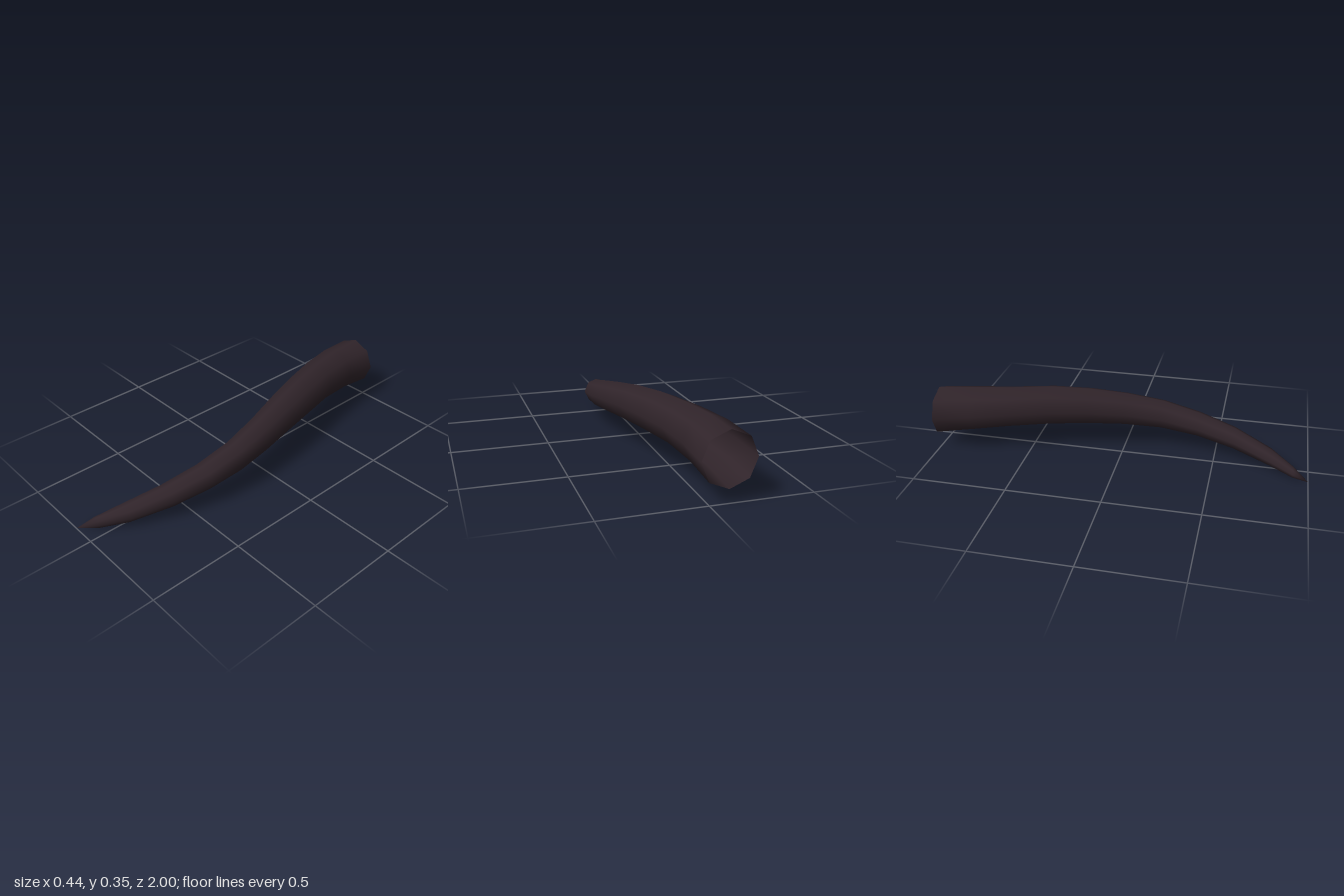
import * as THREE from 'three';

// Horn outline at each station along z: [z, xMin, xMax, yMin, yMax]
const STATIONS = [
  [-1.0, -0.222, 0.042, 0.067, 0.335],
  [-0.8, -0.2, 0.052, 0.1, 0.346],
  [-0.6, -0.155, 0.08, 0.123, 0.348],
  [-0.4, -0.095, 0.127, 0.13, 0.349],
  [-0.2, -0.035, 0.167, 0.13, 0.333],
  [0.0, 0.023, 0.2, 0.121, 0.303],
  [0.2, 0.06, 0.219, 0.107, 0.265],
  [0.4, 0.056, 0.204, 0.087, 0.218],
  [0.6, 0.02, 0.152, 0.056, 0.17],
  [0.8, -0.05, 0.062, 0.022, 0.108],
  [0.92, -0.095, -0.035, 0.001, 0.06],
];
const TIP = [-0.116, 0.011, 1];
const SIDES = 8;

export function createModel() {
  const positions = [];
  const indices = [];

  // Eight-sided cross-sections, from the open base to the tip
  for (const [z, x0, x1, y0, y1] of STATIONS) {
    for (let j = 0; j < SIDES; j++) {
      const a = (j / SIDES) * Math.PI * 2;
      positions.push(
        (x0 + x1) / 2 + ((x1 - x0) / 2) * Math.cos(a),
        (y0 + y1) / 2 + ((y1 - y0) / 2) * Math.sin(a),
        z
      );
    }
  }
  positions.push(...TIP);

  // Side walls, then the pointed end
  const last = STATIONS.length - 1;
  for (let i = 0; i <= last; i++) {
    for (let j = 0; j < SIDES; j++) {
      const a = i * SIDES + j;
      const b = i * SIDES + ((j + 1) % SIDES);
      if (i < last) indices.push(a, b, b + SIDES, a, b + SIDES, a + SIDES);
      else indices.push(a, b, STATIONS.length * SIDES);
    }
  }

  const geometry = new THREE.BufferGeometry();
  geometry.setAttribute('position', new THREE.Float32BufferAttribute(positions, 3));
  geometry.setIndex(indices);
  geometry.computeVertexNormals();

  // Hollow horn, open at the back
  const horn = new THREE.Mesh(
    geometry,
    new THREE.MeshStandardMaterial({ color: 0x30242a, side: THREE.DoubleSide })
  );
  horn.name = 'horn';

  const group = new THREE.Group();
  group.name = 'curvedHorn';
  group.add(horn);
  return group;
}
